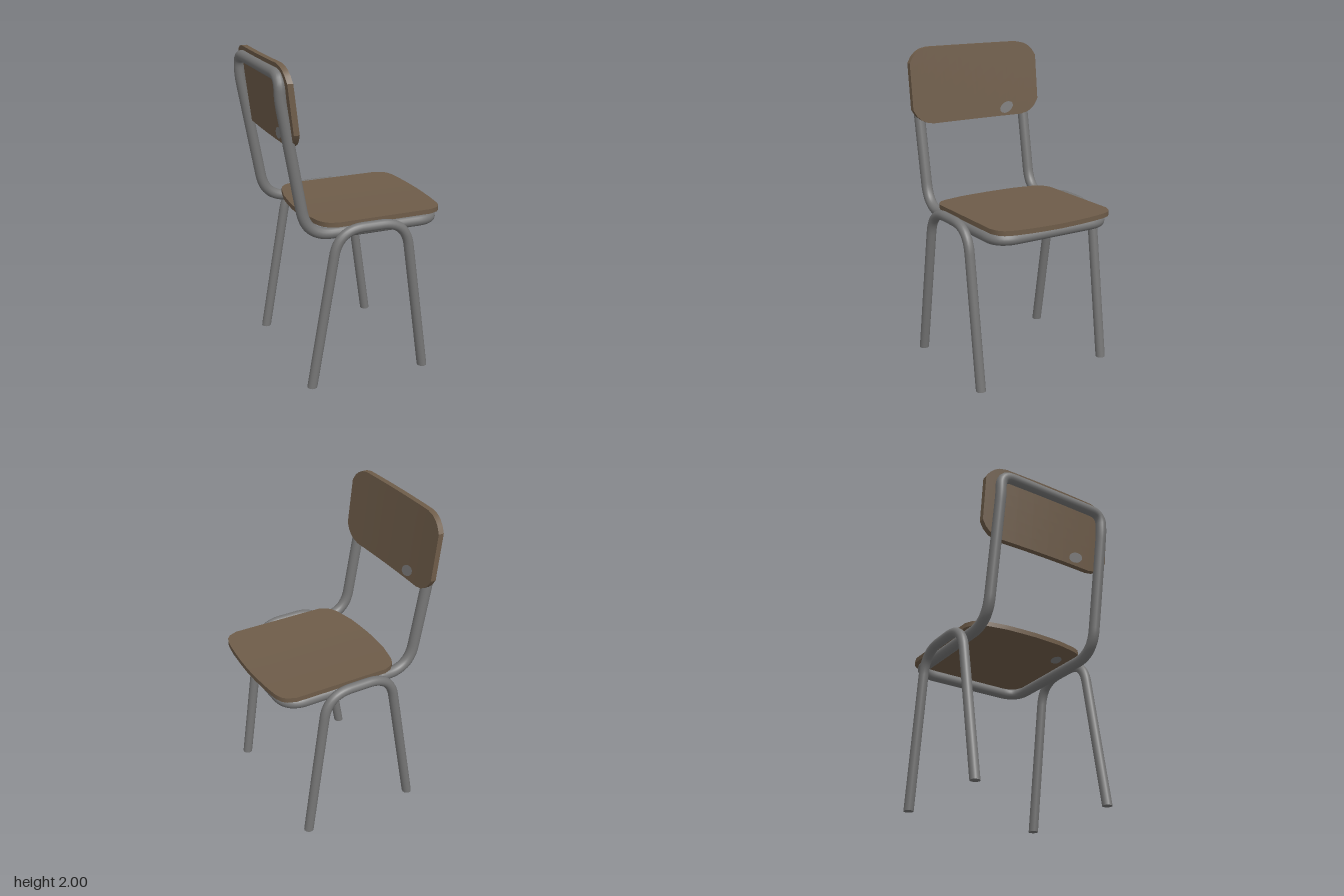
import * as THREE from 'three';
import { toCreasedNormals } from 'three/addons/utils/BufferGeometryUtils.js';

const V = (x, y, z) => new THREE.Vector3(x, y, z);

// Path of straight runs with rounded corners; each point is [x, y, z, corner length]
function roundedPath(points, closed = false) {
  const path = new THREE.CurvePath();
  const n = points.length;
  const at = i => V(...points[(i + n) % n].slice(0, 3));
  let last = at(0);
  for (let i = 1; i < n; i++) {
    const p = at(i), d = points[i][3] || 0;
    if (!d) { path.add(new THREE.LineCurve3(last, p)); last = p; continue; }
    const a = p.clone().add(at(i - 1).sub(p).setLength(d));
    const b = p.clone().add(at(i + 1).sub(p).setLength(d));
    path.add(new THREE.LineCurve3(last, a));
    path.add(new THREE.QuadraticBezierCurve3(a, p, b));
    last = b;
  }
  if (closed) path.add(new THREE.LineCurve3(last, at(0)));
  return path;
}

// Thin bent panel from columns [t, low, high]; place(t, s, h) maps to space
function panel(columns, thickness, place) {
  const pos = [], steps = 6;
  const quad = (a, b, c, d) => [a, b, c, a, c, d].forEach(p => pos.push(...p));
  const pt = (c, k, h) => place(c[0], c[1] + (c[2] - c[1]) * k / steps, h);
  for (let i = 0; i < columns.length - 1; i++) {
    const a = columns[i], b = columns[i + 1], T = thickness;
    for (let k = 0; k < steps; k++) {
      quad(pt(a, k, T), pt(b, k, T), pt(b, k + 1, T), pt(a, k + 1, T));
      quad(pt(a, k, 0), pt(a, k + 1, 0), pt(b, k + 1, 0), pt(b, k, 0));
    }
    quad(pt(a, 0, 0), pt(b, 0, 0), pt(b, 0, T), pt(a, 0, T));
    quad(pt(a, steps, 0), pt(a, steps, T), pt(b, steps, T), pt(b, steps, 0));
  }
  const f = columns[0], l = columns[columns.length - 1];
  quad(pt(f, 0, 0), pt(f, 0, thickness), pt(f, steps, thickness), pt(f, steps, 0));
  quad(pt(l, 0, 0), pt(l, steps, 0), pt(l, steps, thickness), pt(l, 0, thickness));
  const g = new THREE.BufferGeometry();
  g.setAttribute('position', new THREE.Float32BufferAttribute(pos, 3));
  return toCreasedNormals(g, 0.5);
}

// Mirrors a half list of columns (from centre outwards) to both sides
const bothSides = half => [
  ...half.slice(1).reverse().map(([t, a, b]) => [-t, a, b]), ...half];

export function createModel() {
  const model = new THREE.Group();
  const wood = new THREE.MeshStandardMaterial({ color: 0x6e5c49 });
  const steel = new THREE.MeshStandardMaterial({ color: 0x757575 });
  const worn = new THREE.MeshStandardMaterial({ color: 0x7d7c7c });
  const add = (name, geometry, material, parent = model) => {
    const mesh = new THREE.Mesh(geometry, material);
    mesh.name = name;
    parent.add(mesh);
    return mesh;
  };

  // One closed tube carries the seat and the backrest
  const w = 0.395;
  const frame = roundedPath([
    [0.485, 0.975, 0],
    [0.485, 0.975, w, 0.13],
    [-0.375, 0.975, w, 0.16],
    [-0.52, 1.8, w, 0.05],
    [-0.522, 1.94, w, 0.085],
    [-0.522, 1.94, -w, 0.085],
    [-0.52, 1.8, -w, 0.05],
    [-0.375, 0.975, -w, 0.16],
    [0.485, 0.975, -w, 0.13],
  ], true);
  add('supportFrame', new THREE.TubeGeometry(frame, 260, 0.035, 16, true), steel);

  // Each side has an arched tube forming two legs, cut level at the floor
  for (const [name, z] of [['legArchNear', 0.46], ['legArchFar', -0.46]]) {
    const group = new THREE.Group();
    group.name = name;
    model.add(group);
    const r = 0.031, feet = [-0.373, 0.385];
    const arch = roundedPath([
      [feet[0], 0, z],
      [-0.197, 1.008, z, 0.16],
      [0.246, 1.008, z, 0.16],
      [feet[1], 0, z],
    ]);
    const g = new THREE.TubeGeometry(arch, 100, r, 16);
    const p = g.attributes.position;
    for (let i = 0; i < p.count; i++) if (p.getY(i) < 0.012) p.setY(i, 0);
    add('legs', g, steel, group);
    for (const x of feet) {
      const cap = add('footCap', new THREE.CircleGeometry(r, 16), steel, group);
      cap.rotation.x = Math.PI / 2;
      cap.position.set(x, 0, z);
    }
  }

  // Seat: rounded square, slightly dished
  const seatColumns = bothSides([
    [0, -0.32, 0.555], [0.1, -0.316, 0.552], [0.2, -0.308, 0.546],
    [0.28, -0.29, 0.538], [0.335, -0.277, 0.53], [0.375, -0.258, 0.515],
    [0.402, -0.23, 0.49], [0.423, -0.18, 0.435],
  ]);
  add('seat', panel(seatColumns, 0.03, (t, s, h) =>
    [s, 1.006 + h + 0.006 * (t / 0.42) ** 2 + 0.006 * s, t - 0.007]), wood);

  // Backrest: leaning, gently bowed board with rounded corners
  const backX = (y, t) => -0.42 - (y - 1.515) * 0.113 - 0.012 * (1 - (t / 0.475) ** 2);
  const backColumns = bothSides([
    [0, 1.515, 2], [0.12, 1.515, 2], [0.24, 1.515, 2], [0.335, 1.515, 2],
    [0.385, 1.525, 1.99], [0.42, 1.543, 1.972], [0.45, 1.57, 1.945], [0.475, 1.61, 1.905],
  ]);
  add('backrest', panel(backColumns, 0.035, (t, s, h) =>
    [backX(s, t) + h - 0.035, s, -t - 0.015]), wood);

  // Small worn patches lying just proud of the boards
  const patch = (name, position, normal) => {
    const g = new THREE.CircleGeometry(0.05, 12);
    g.scale(1.1, 0.7, 1);
    g.rotateZ(0.4);
    const mesh = add(name, g, worn);
    mesh.position.copy(position);
    mesh.lookAt(position.clone().add(normal));
  };
  const lean = V(1, 0.113, 0);
  patch('backrestFrontPatch', V(backX(1.57, 0.225) + 0.003, 1.57, -0.24), lean);
  patch('backrestRearPatch', V(backX(1.57, 0.225) - 0.038, 1.57, 0.21), lean.clone().negate());
  patch('seatUndersidePatch', V(-0.12, 1.004, 0.3), V(0, -1, 0.001));

  return model;
}
